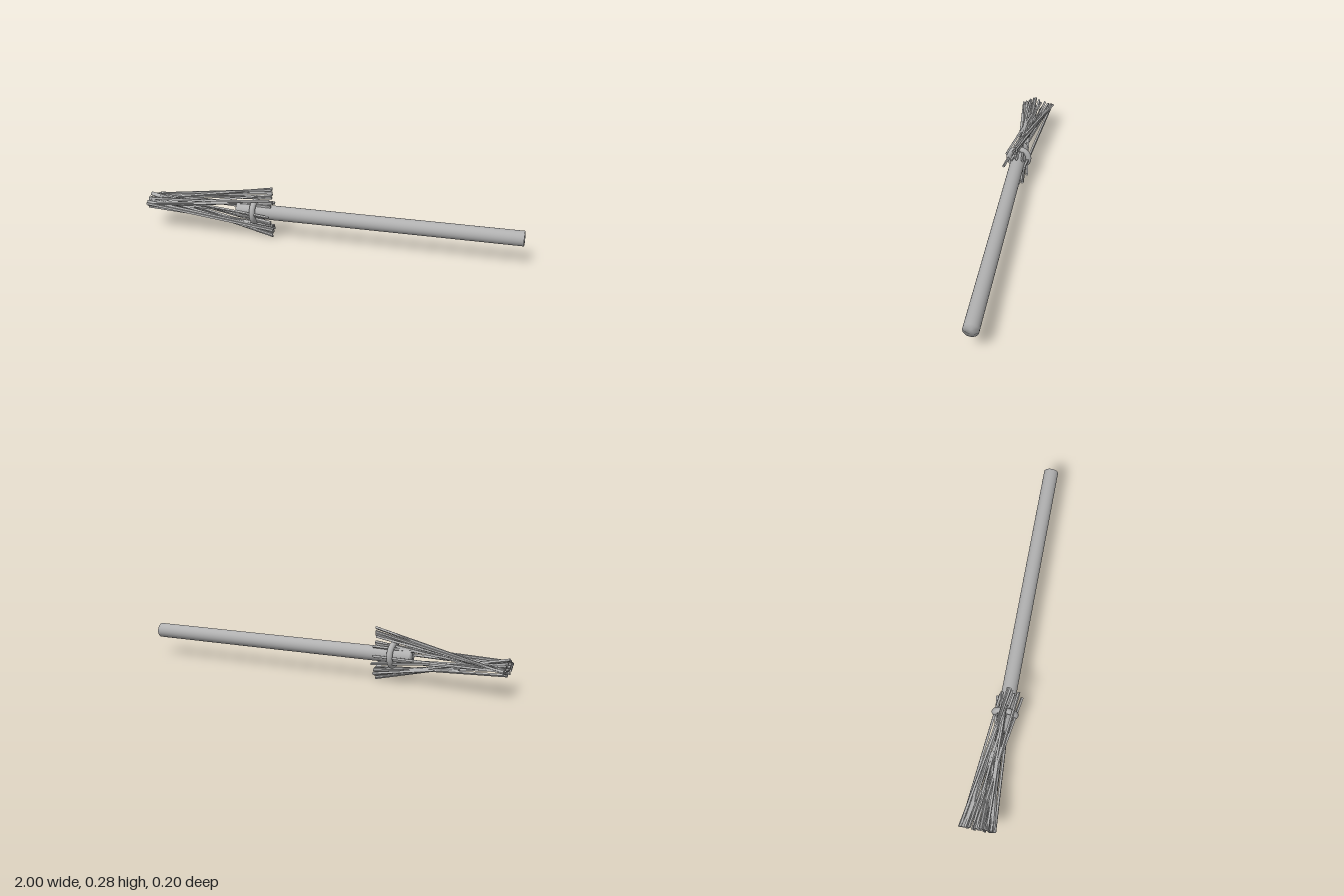
import * as THREE from 'three';
import { mergeVertices } from 'three/addons/utils/BufferGeometryUtils.js';

const AXIS_Y = 0.138, AXIS_Z = 0.022;
const TIP_X = -0.305, END_X = -1, TWIG = 0.011;

// each twig: z, y beside the handle, then z, y at the sweeping end
const TWIGS = [
  [0.033, 0.267, -0.09, 0.14], [0.022, 0.27, -0.055, 0.125], [0.022, 0.25, -0.088, 0.137],
  [0.040, 0.235, -0.092, 0.142], [0.022, 0.238, 0.03, 0.107], [0.030, 0.222, -0.075, 0.138],
  [0.075, 0.22, 0.0, 0.13], [0.030, 0.197, -0.03, 0.12], [0.018, 0.196, 0.06, 0.125],
  [0.050, 0.180, -0.065, 0.147], [-0.012, 0.180, 0.075, 0.14], [0.022, 0.187, 0.045, 0.16],
  [0.092, 0.135, -0.02, 0.15], [-0.035, 0.095, 0.05, 0.15], [0.062, 0.088, -0.08, 0.145],
  [0.054, 0.096, -0.045, 0.155], [-0.02, 0.132, -0.085, 0.141], [0.025, 0.009, 0.02, 0.175],
  [0.031, 0.019, -0.01, 0.165], [0.022, 0.03, 0.04, 0.165], [0.030, 0.042, 0.082, 0.142],
  [0.008, 0.03, 0.01, 0.178], [0.015, 0.045, 0.065, 0.15], [-0.012, 0.04, 0.03, 0.14],
  [-0.005, 0.055, 0.07, 0.132], [0.005, 0.06, 0.055, 0.117], [0.032, 0.066, -0.02, 0.108],
  [0.018, 0.062, 0.015, 0.125],
];

// a square rod sheared between two points, with both ends cut square to x
function twigGeometry([z0, y0, z1, y1], roll) {
  const g = new THREE.BoxGeometry(TIP_X - END_X, TWIG, TWIG);
  g.rotateX(roll);
  const p = g.attributes.position;
  for (let i = 0; i < p.count; i++) {
    const t = p.getX(i) > 0 ? 0 : 1;
    p.setXYZ(i, t ? END_X : TIP_X,
      p.getY(i) + y0 + (y1 - y0) * t,
      p.getZ(i) + z0 + (z1 - z0) * t);
  }
  g.computeVertexNormals();
  return g;
}

export function createModel() {
  const broom = new THREE.Group();
  broom.name = 'broom';
  const grey = new THREE.MeshStandardMaterial({ color: 0xb0b0b0 });
  grey.name = 'plain grey';

  // handle, shaded smoothly across its flat ends
  let rod = new THREE.CylinderGeometry(0.0385, 0.0385, 1.5, 32);
  rod.deleteAttribute('normal');
  rod.deleteAttribute('uv');
  rod = mergeVertices(rod);
  rod.computeVertexNormals();
  rod.rotateZ(-Math.PI / 2);
  const handle = new THREE.Mesh(rod, grey);
  handle.name = 'handle';
  handle.position.set(0.25, AXIS_Y, AXIS_Z);
  broom.add(handle);

  // binding ring around the handle
  const ring = new THREE.Mesh(new THREE.TorusGeometry(0.0535, 0.0155, 16, 48), grey);
  ring.name = 'bindingRing';
  ring.rotation.y = Math.PI / 2;
  ring.position.set(-0.402, AXIS_Y, AXIS_Z);
  broom.add(ring);

  // loose bundle of twigs
  const bundle = new THREE.Group();
  bundle.name = 'twigs';
  TWIGS.forEach((ends, i) => {
    const twig = new THREE.Mesh(twigGeometry(ends, i * 0.7), grey);
    twig.name = 'twig';
    bundle.add(twig);
  });
  broom.add(bundle);
  return broom;
}
